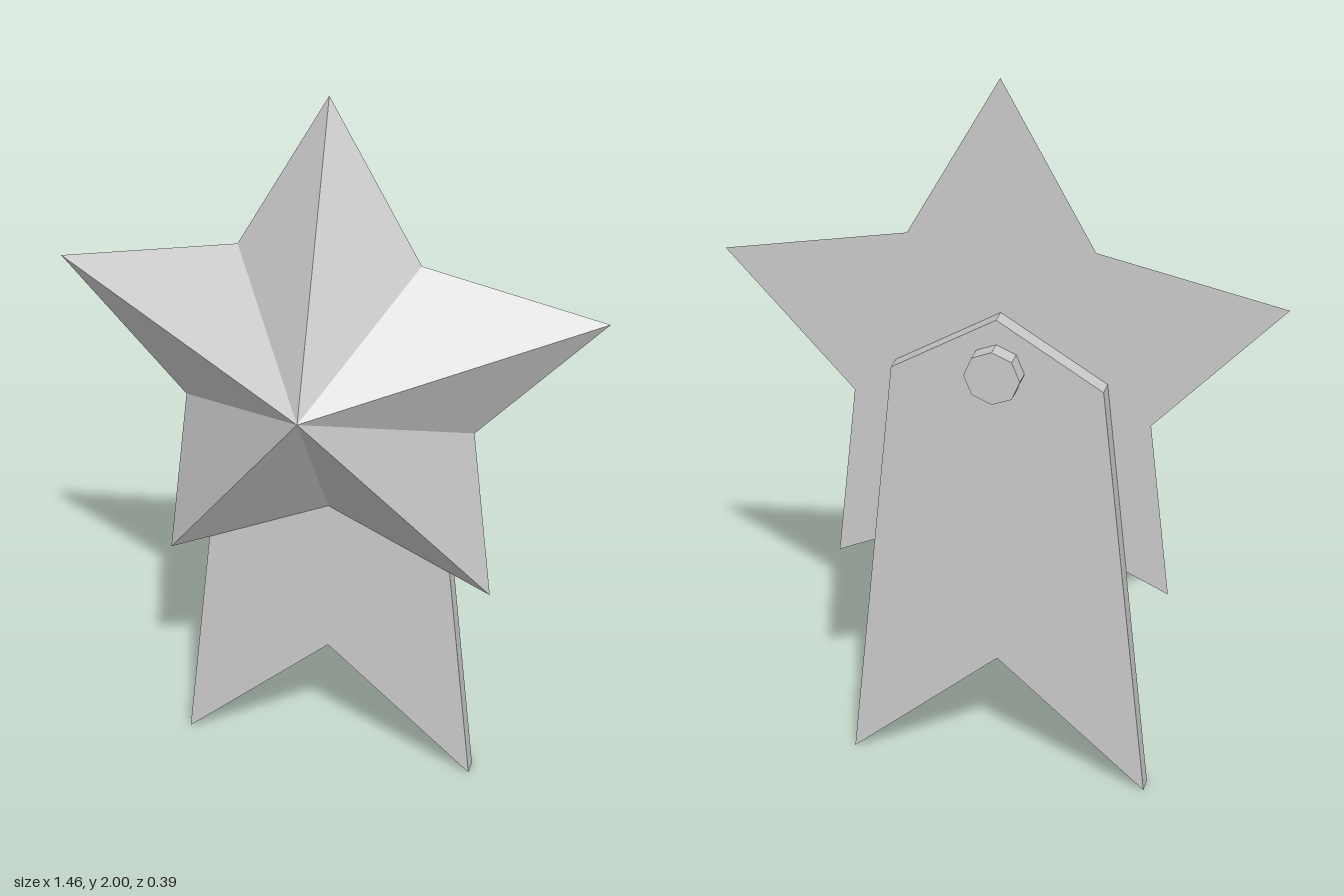
import * as THREE from 'three';

const STAR_Y = 1.23, STAR_BACK = -0.103, PLATE_BACK = -0.149, BACK = -0.195, APEX = 0.195;
const TIP_R = 0.77, VALLEY_R = 0.415;

const material = new THREE.MeshStandardMaterial({ color: 0xcccccc, flatShading: true });

function addPart(group, name, geometry) {
  const mesh = new THREE.Mesh(geometry, material);
  mesh.name = name;
  group.add(mesh);
  return mesh;
}

// Faceted star: a ten-sided cone whose every other base corner is pulled inward
function starGeometry() {
  const depth = APEX - STAR_BACK;
  const geometry = new THREE.ConeGeometry(TIP_R, depth, 10, 1)
    .rotateX(Math.PI / 2)
    .rotateZ(Math.PI)
    .translate(0, 0, STAR_BACK + depth / 2)
    .toNonIndexed();
  const p = geometry.attributes.position;
  for (let i = 0; i < p.count; i++) {
    const x = p.getX(i), y = p.getY(i);
    const step = Math.round(Math.atan2(x, y) / (Math.PI / 5));
    if (step % 2 !== 0) {
      const k = VALLEY_R / TIP_R;
      p.setXY(i, x * k, y * k);
    }
  }
  geometry.computeVertexNormals();
  return geometry;
}

// Flat ribbon plate with a peaked top and a notched, swallow-tail bottom
function ribbonGeometry() {
  const outline = [[0, 0.36], [0.412, 0], [0.28, 1.205], [0, 1.373], [-0.28, 1.205], [-0.412, 0]];
  const shape = new THREE.Shape(outline.map(([x, y]) => new THREE.Vector2(x, y)));
  return new THREE.ExtrudeGeometry(shape, { depth: STAR_BACK - PLATE_BACK, bevelEnabled: false })
    .translate(0, 0, PLATE_BACK);
}

export function createModel() {
  const group = new THREE.Group();
  group.name = 'starOrnament';

  addPart(group, 'star', starGeometry()).position.y = STAR_Y;
  addPart(group, 'ribbonPlate', ribbonGeometry());

  // Eight-sided fastener on the back of the plate
  const bolt = new THREE.CylinderGeometry(0.074, 0.074, PLATE_BACK - BACK, 8).rotateX(Math.PI / 2);
  addPart(group, 'backBolt', bolt).position.set(0, STAR_Y, (PLATE_BACK + BACK) / 2);

  return group;
}
